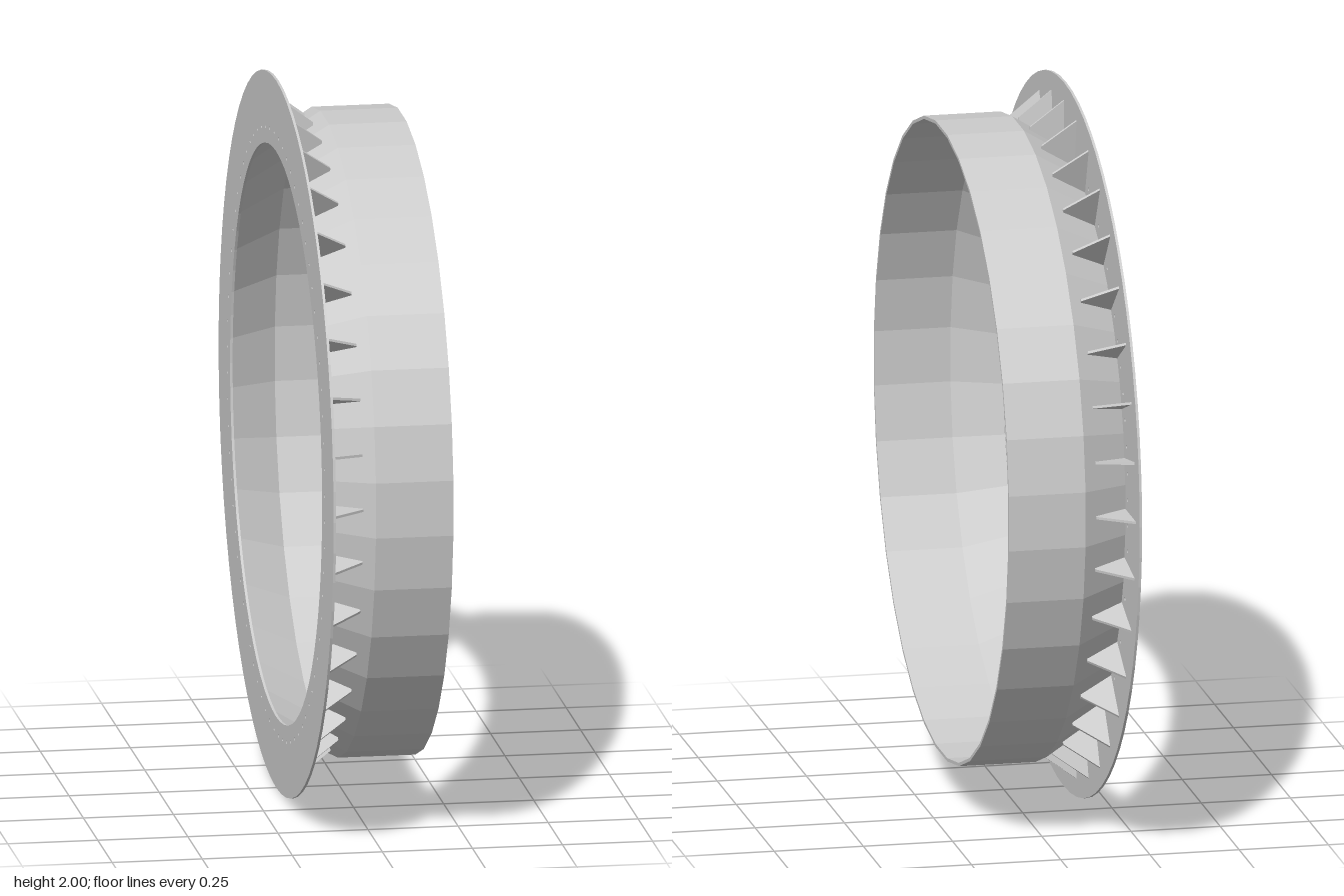
import * as THREE from 'three';

const SIDES = 36;
const STEP = (Math.PI * 2) / SIDES;

export function createModel() {
  const model = new THREE.Group();
  model.name = 'flangedRing';
  const material = new THREE.MeshStandardMaterial({ color: 0xcccccc, flatShading: true, side: THREE.DoubleSide });

  const add = (geometry, name, parent = model) => {
    const mesh = new THREE.Mesh(geometry, material);
    mesh.name = name;
    parent.add(mesh);
    return mesh;
  };

  // Thin walled collar: conical throat opening into a straight band
  const profile = [
    [0.812, -0.17], [0.893, -0.04], [0.893, 0.175],
    [0.884, 0.175], [0.884, -0.038], [0.803, -0.17], [0.812, -0.17],
  ].map(([r, x]) => new THREE.Vector2(r, x));
  const collar = new THREE.LatheGeometry(profile, SIDES, STEP / 2);
  collar.rotateZ(-Math.PI / 2);
  add(collar, 'collar');

  // Flat flange with a circle of small bolt holes
  const plate = new THREE.Shape().absarc(0, 0, 1, 0, Math.PI * 2, false);
  plate.holes.push(new THREE.Path().absarc(0, 0, 0.8, 0, Math.PI * 2, true));
  for (let i = 0; i < 72; i++) {
    const a = (i + 0.5) * STEP / 2;
    plate.holes.push(new THREE.Path().absarc(0.845 * Math.cos(a), 0.845 * Math.sin(a), 0.005, 0, Math.PI * 2, true));
  }
  const flange = new THREE.ExtrudeGeometry(plate, { depth: 0.007, bevelEnabled: false, curveSegments: 36 });
  flange.rotateY(Math.PI / 2);
  flange.translate(-0.175, 0, 0);
  add(flange, 'flange');

  // Triangular gussets between the flange and the throat
  const fin = new THREE.Shape([
    new THREE.Vector2(-0.17, 0.81),
    new THREE.Vector2(-0.073, 0.87),
    new THREE.Vector2(-0.073, 0.878),
    new THREE.Vector2(-0.17, 0.95),
  ]);
  const finGeometry = new THREE.ExtrudeGeometry(fin, { depth: 0.007, bevelEnabled: false });
  finGeometry.translate(0, 0, -0.0035);
  const gussets = new THREE.Group();
  gussets.name = 'gussets';
  model.add(gussets);
  for (let i = 0; i < SIDES; i++) add(finGeometry, 'gusset', gussets).rotation.x = i * STEP;

  // Small drain plug low on the inside of the throat
  const plug = add(new THREE.CylinderGeometry(0.005, 0.005, 0.008, 8), 'drainPlug');
  plug.position.set(-0.147, -0.817, 0.075);

  model.position.y = 1;
  const root = new THREE.Group();
  root.name = 'model';
  root.add(model);
  return root;
}
